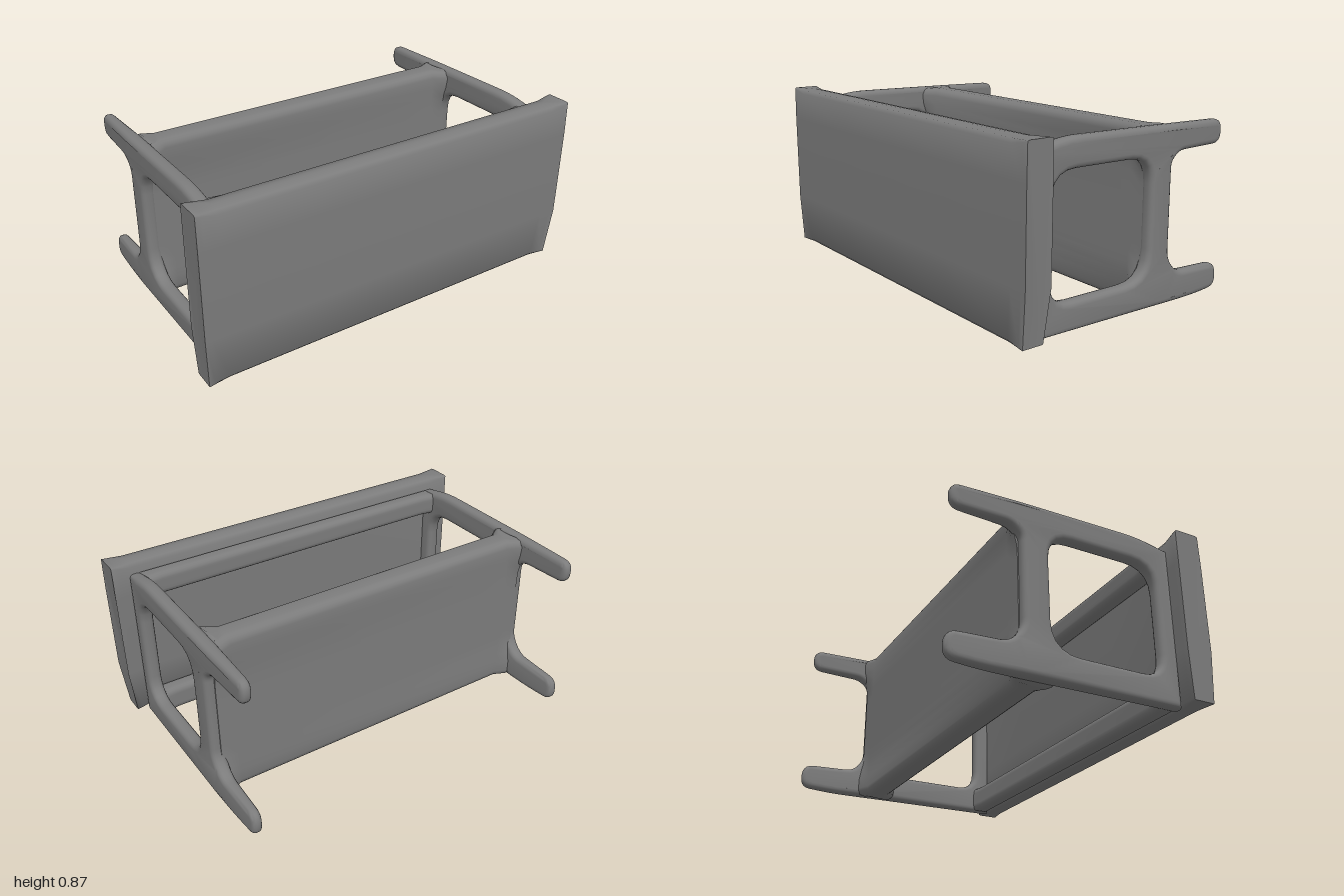
import * as THREE from 'three';
import { mergeVertices, toCreasedNormals } from 'three/addons/utils/BufferGeometryUtils.js';

const material = new THREE.MeshStandardMaterial({ color: 0x7c7c7c, side: THREE.DoubleSide });

// Closed outline of [x, y, cornerRadius] as clean points; radius 0 is a sharp corner
function outline(points) {
  const v = points.map(([x, y]) => new THREE.Vector2(x, y));
  const n = v.length;
  return v.flatMap((p, i) => {
    const prev = v[(i + n - 1) % n], next = v[(i + 1) % n];
    const r = Math.min(points[i][2], 0.45 * p.distanceTo(prev), 0.45 * p.distanceTo(next));
    if (r === 0) return [p];
    const a = prev.clone().sub(p).setLength(r).add(p);
    const b = next.clone().sub(p).setLength(r).add(p);
    return new THREE.QuadraticBezierCurve(a, p, b).getPoints(5);
  });
}

// Share vertices, then smooth everything except sharp edges
function smooth(geo) {
  geo.deleteAttribute('uv');
  geo.deleteAttribute('normal');
  return toCreasedNormals(mergeVertices(geo, 1e-4), 0.9);
}

// Extrude with rounded rims, keeping the outline and total depth as given
function softExtrude(shape, depth, bevel, steps) {
  return new THREE.ExtrudeGeometry(shape, {
    depth: depth - 2 * bevel, steps,
    bevelEnabled: true, bevelSize: bevel, bevelOffset: -bevel,
    bevelThickness: bevel, bevelSegments: 4,
  }).translate(0, 0, bevel);
}

function addMesh(group, name, geo) {
  const mesh = new THREE.Mesh(geo, material);
  mesh.name = name;
  group.add(mesh);
}

// H-shaped end frame with one closed window, drawn in (z, y); side is +1 or -1
function frameGeometry(side) {
  const shape = new THREE.Shape(outline([
    [0.5, 0.015, 0], [-0.2, 0.008, 0.1], [-0.45, 0.004, 0.1], [-0.622, 0.015, 0.06],
    [-0.618, 0.135, 0.06], [-0.34, 0.145, 0.09], [-0.275, 0.22, 0.09],
    [-0.275, 0.665, 0.09], [-0.33, 0.705, 0.09], [-0.605, 0.71, 0.06], [-0.608, 0.822, 0.06],
    [-0.2, 0.83, 0.1], [0.33, 0.838, 0.1], [0.5, 0.805, 0],
  ]));
  shape.holes.push(new THREE.Path(outline([
    [0.415, 0.145, 0.11], [0.415, 0.705, 0.13], [-0.145, 0.7, 0.12], [-0.145, 0.143, 0.14],
  ])));
  const geo = softExtrude(shape, 0.07, 0.026, 1)
    .rotateY(-Math.PI / 2).translate(side * 0.88 + 0.035, 0, 0);
  // Thin the free leg ends
  const p = geo.attributes.position;
  for (let i = 0; i < p.count; i++) {
    const t = THREE.MathUtils.clamp((-0.28 - p.getZ(i)) / 0.34, 0, 1);
    p.setX(i, side * 0.88 + (p.getX(i) - side * 0.88) * (1 - 0.3 * t));
  }
  return smooth(geo);
}

// Member from z = zA (rear) to zB, flaring into the bars of the end frames
function spanGeometry(zA, zB, flareA, flareB, y0, y1, bevel) {
  const half = [[0.78, zB], [0.84, zB + flareB], [0.87, zB + flareB],
    [0.87, zA - flareA], [0.84, zA - flareA], [0.78, zA]];
  const loop = [...half, ...half.map(([x, z]) => [-x, z]).reverse()];
  const shape = new THREE.Shape(loop.map(([x, z]) => new THREE.Vector2(x, -z)));
  const geo = softExtrude(shape, y1 - y0, bevel, 14).rotateX(-Math.PI / 2).translate(0, y0, 0);
  // Fade the flare out at mid height, where the posts are narrow
  const p = geo.attributes.position;
  for (let i = 0; i < p.count; i++) {
    const k = THREE.MathUtils.smoothstep(Math.abs(p.getY(i) - 0.42), 0.18, 0.34);
    const z = p.getZ(i);
    p.setZ(i, THREE.MathUtils.lerp(THREE.MathUtils.clamp(z, zA, zB), z, k));
  }
  return smooth(geo);
}

// Table top: crisp sections at the ends, rounded sections between
function topGeometry() {
  const stations = [[-1, 0.012], [-0.97, 0.025], [-0.9, 0.05], [-0.45, 0.05], [0, 0.05],
    [0.45, 0.05], [0.9, 0.05], [0.97, 0.025], [1, 0.012]];
  const pos = [], index = [];
  for (const [x, c] of stations) {
    const back = Math.abs(x) > 0.95 ? 0.485 : 0.493, front = 0.612;
    const ring = [
      [0.028, back + 0.018 + c * 0.3], [0.028, front - c * 0.4], [0.028 + c * 0.3, front - 0.006],
      [0.27, front + 0.004], [0.7, front + 0.003], [0.868 - c * 0.5, front],
      [0.868 - c * 0.15, front - c * 0.25], [0.868, front - c], [0.868, back + c],
      [0.868 - c * 0.15, back + c * 0.25], [0.868 - c * 0.5, back],
      [0.7, back], [0.27, back], [0.028 + c * 0.3, back + 0.016],
    ];
    for (const [y, z] of ring) {
      // Narrow the lower corners, more on the left
      const narrow = (x > 0 ? 0.03 : 0.01) * THREE.MathUtils.clamp((0.3 - y) / 0.27, 0, 1);
      pos.push(x * (0.997 - narrow), y, z);
    }
  }
  const n = pos.length / 3 / stations.length;
  for (let s = 0; s < stations.length - 1; s++) {
    for (let i = 0; i < n; i++) {
      const a = s * n + i, b = s * n + (i + 1) % n;
      index.push(a, a + n, b, b, a + n, b + n);
    }
  }
  // End caps
  const last = (stations.length - 1) * n;
  for (let i = 1; i < n - 1; i++) {
    index.push(0, i, i + 1, last, last + i + 1, last + i);
  }
  const geo = new THREE.BufferGeometry();
  geo.setAttribute('position', new THREE.Float32BufferAttribute(pos, 3));
  geo.setIndex(index);
  return toCreasedNormals(geo, 1.2);
}

export function createModel() {
  const group = new THREE.Group();
  group.name = 'coffeeTableOnItsSide';

  addMesh(group, 'tableTop', topGeometry());
  addMesh(group, 'leftLegFrame', frameGeometry(1));
  addMesh(group, 'rightLegFrame', frameGeometry(-1));

  // Shelf between the frames
  addMesh(group, 'shelf', spanGeometry(-0.28, -0.147, 0.028, 0.042, 0, 0.826, 0.04));

  // Rails under the table top
  addMesh(group, 'lowerRail', spanGeometry(0.41, 0.5, 0.01, 0, 0.015, 0.145, 0.03));
  addMesh(group, 'upperRail', spanGeometry(0.41, 0.5, 0.01, 0, 0.7, 0.815, 0.03));

  return group;
}
